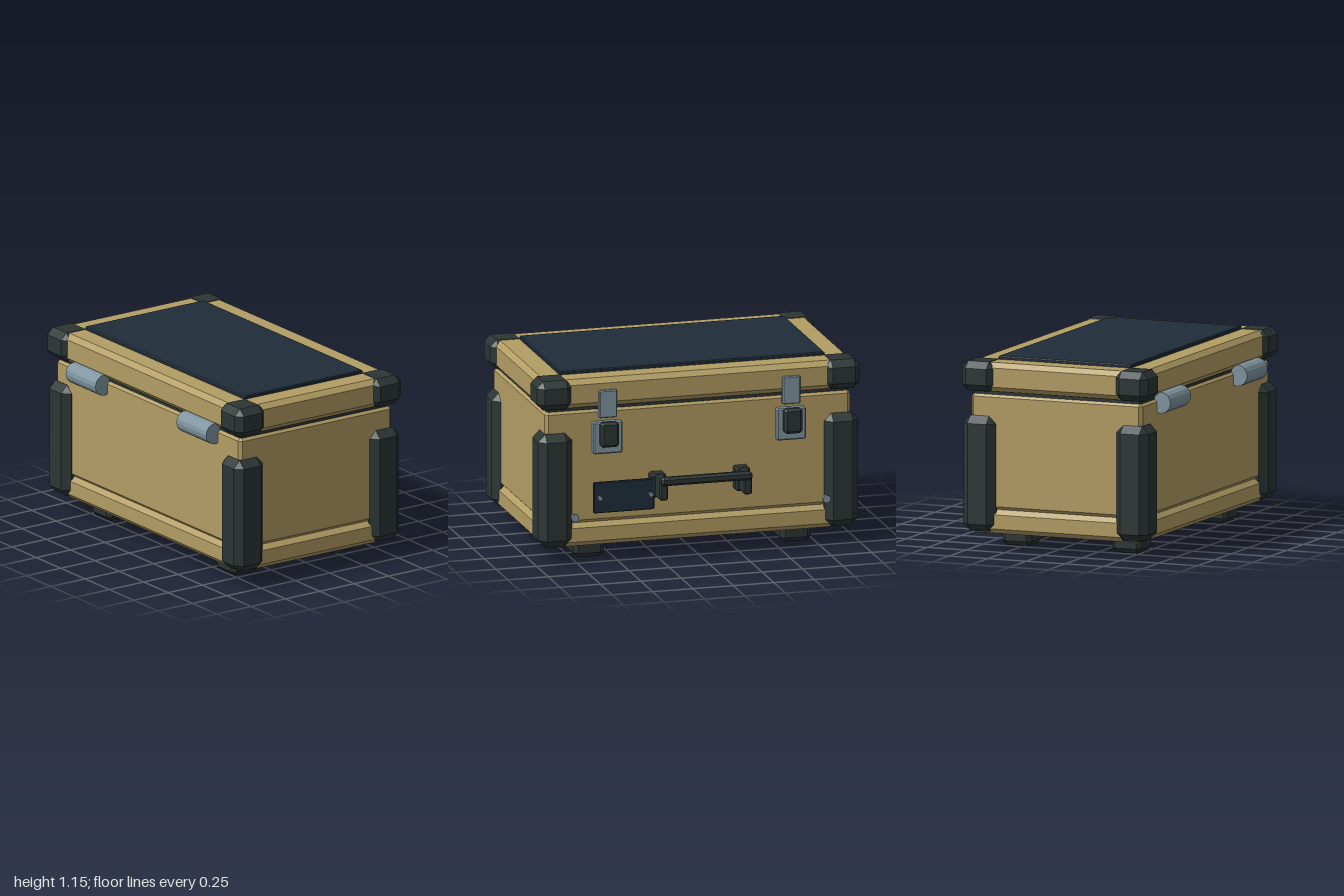
import * as THREE from 'three';
import { ConvexGeometry } from 'three/addons/geometries/ConvexGeometry.js';

const mat = (color) => new THREE.MeshStandardMaterial({ color, flatShading: true });
const CZ = 0.06; // centre of the case in z; hinges and handle balance it out

// Box with all edges chamfered by c, given by its min and max corners
function chamferBox(min, max, c) {
  const h = min.map((v, i) => (max[i] - v) / 2);
  const m = min.map((v, i) => (max[i] + v) / 2);
  const points = [];
  for (const sx of [-1, 1]) for (const sy of [-1, 1]) for (const sz of [-1, 1]) {
    for (let axis = 0; axis < 3; axis++) {
      const p = [sx, sy, sz].map((s, i) => m[i] + s * (h[i] - (i === axis ? 0 : c)));
      points.push(new THREE.Vector3(...p));
    }
  }
  return new ConvexGeometry(points);
}

export function createModel() {
  const model = new THREE.Group();
  model.name = 'storageCase';
  const tan = mat(0xb39d64), rubber = mat(0x2c3535), navy = mat(0x1f2d3a), steel = mat(0x8095a1);

  const add = (name, geometry, material, parent = model) => {
    const mesh = new THREE.Mesh(geometry, material);
    mesh.name = name;
    parent.add(mesh);
    return mesh;
  };
  const block = (name, min, max, c, material, parent) =>
    add(name, chamferBox(min, max, c), material, parent);
  // Box centred on the case, by half width, half depth and height range
  const layer = (name, hx, hz, y0, y1, c, material) =>
    block(name, [-hx, y0, CZ - hz], [hx, y1, CZ + hz], c, material);

  // Shell
  layer('base', 0.955, 0.562, 0.10, 0.245, 0.03, tan);
  layer('body', 0.945, 0.555, 0.243, 0.94, 0.02, tan);
  layer('gasket', 0.93, 0.54, 0.925, 0.97, 0.008, rubber);
  layer('lid', 0.97, 0.578, 0.955, 1.13, 0.03, tan);
  layer('topPanel', 0.82, 0.432, 1.11, 1.15, 0.006, navy);

  // Corner guards and feet, one set per corner
  for (const sx of [-1, 1]) for (const sz of [-1, 1]) {
    const corner = (name, x0, x1, y0, y1, z0, z1, c) => {
      const z = [CZ + sz * z0, CZ + sz * z1];
      block(name, [Math.min(sx * x0, sx * x1), y0, Math.min(...z)],
        [Math.max(sx * x0, sx * x1), y1, Math.max(...z)], c, rubber);
    };
    corner('lidCorner', 0.78, 1.0, 0.955, 1.133, 0.39, 0.605, 0.04);
    corner('cornerPost', 0.78, 0.99, 0.11, 0.805, 0.39, 0.602, 0.045);
    corner('foot', 0.545, 0.735, 0, 0.13, 0.26, 0.452, 0.027);
  }

  // Hinges on the front, latches and bolts on the back
  for (const s of [-1, 1]) {
    const hinge = new THREE.CylinderGeometry(0.065, 0.065, 0.305, 16);
    hinge.rotateZ(Math.PI / 2).translate(s * 0.568, 0.917, 0.637);
    add('hinge', hinge, steel);

    const latch = new THREE.Group();
    latch.name = 'latch';
    model.add(latch);
    const x = s * 0.567;
    block('latchStrike', [x - 0.055, 0.89, -0.54], [x + 0.055, 1.06, -0.505], 0.006, steel, latch);
    block('latchPlate', [x - 0.09, 0.67, -0.54], [x + 0.09, 0.866, -0.49], 0.008, steel, latch);
    block('latchLever', [x - 0.056, 0.718, -0.587], [x + 0.056, 0.872, -0.53], 0.015, rubber, latch);

    const bolt = new THREE.CylinderGeometry(0.024, 0.024, 0.02, 12);
    bolt.rotateX(Math.PI / 2).translate(s * 0.778, 0.295, -0.553);
    add('bolt', bolt, steel);
  }

  // Carrying handle
  const handle = new THREE.Group();
  handle.name = 'handle';
  model.add(handle);
  for (const s of [-1, 1]) {
    const x = s * 0.26;
    block('handleMount', [x - 0.045, 0.385, -0.567], [x + 0.045, 0.53, -0.48], 0.01, rubber, handle);
    block('handleArm', [x - 0.025, 0.39, -0.67], [x + 0.025, 0.525, -0.55], 0.008, rubber, handle);
  }
  block('handleGrip', [-0.28, 0.485, -0.7], [0.28, 0.537, -0.65], 0.013, rubber, handle);

  // Name plate and its screws
  block('plate', [0.29, 0.315, -0.567], [0.665, 0.505, -0.545], 0.005, navy);
  for (const x of [0.315, 0.63]) {
    const screw = new THREE.CylinderGeometry(0.014, 0.014, 0.03, 10);
    screw.rotateX(Math.PI / 2).translate(x, 0.41, -0.573);
    add('plateScrew', screw, steel);
  }
  return model;
}
